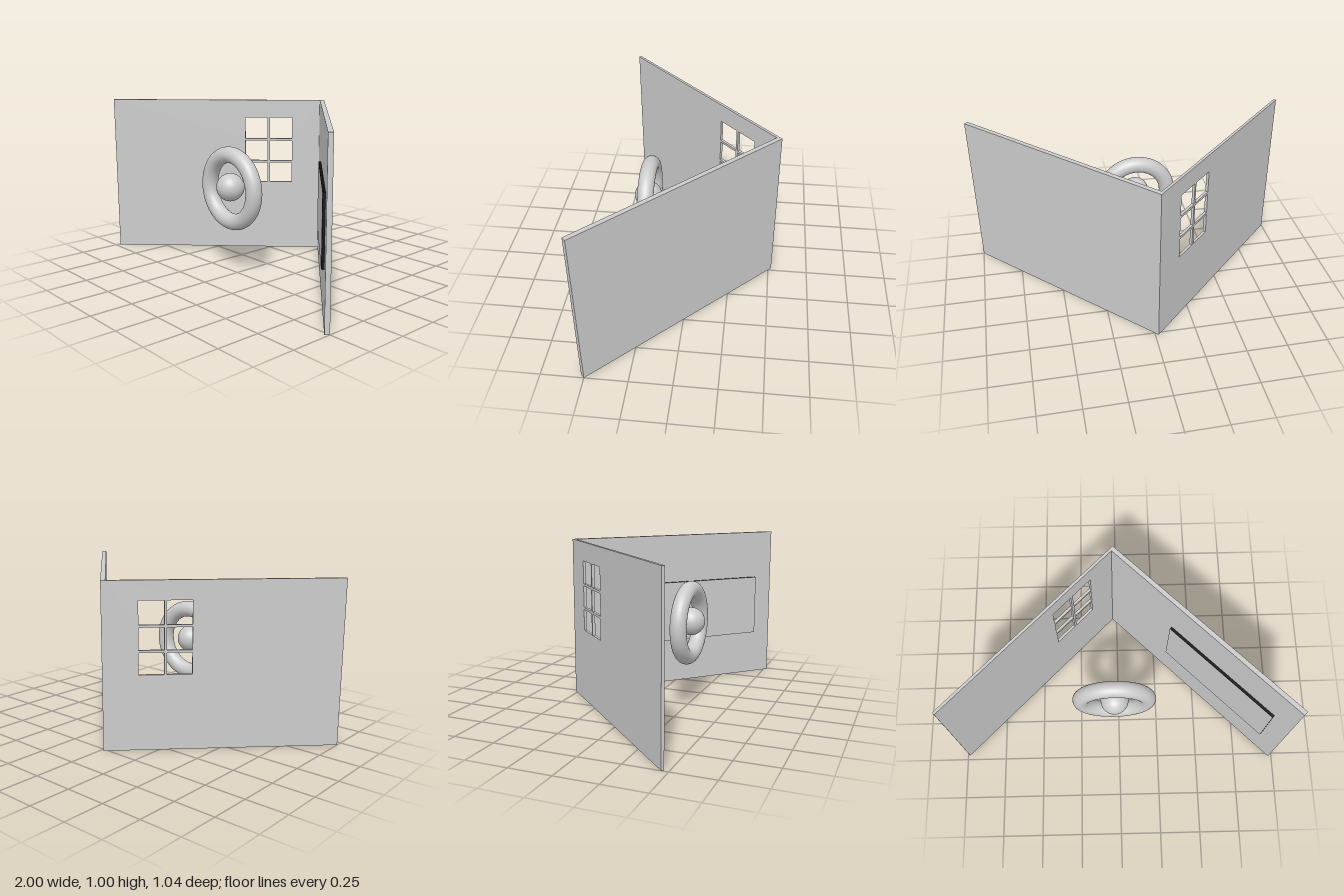
import * as THREE from 'three';

const HEIGHT = 1;
const grey = () => new THREE.MeshStandardMaterial({ color: 0xcccccc });

function addMesh(parent, name, geometry, x, y, z, material = grey()) {
  const mesh = new THREE.Mesh(geometry, material);
  mesh.name = name;
  mesh.position.set(x, y, z);
  parent.add(mesh);
  return mesh;
}

function rectangle(Type, x0, y0, x1, y1) {
  return new Type([[x0, y0], [x1, y0], [x1, y1], [x0, y1]].map(([x, y]) => new THREE.Vector2(x, y)));
}

// A wall side starts at the shared corner; its local +z points into the room
function wallGroup(name, angle) {
  const group = new THREE.Group();
  group.name = name;
  group.position.set(-0.02, 0, -0.52);
  group.rotation.y = angle;
  return group;
}

// Thin wall with a window of 2 x 3 open panes; bars remain between the panes
function windowWall() {
  const group = wallGroup('windowWallSide', Math.PI / 4);
  const shape = rectangle(THREE.Shape, -1.386, 0, -0.028, HEIGHT);
  const columns = [[-0.515, -0.369], [-0.354, -0.208]];
  const rows = [[0.455, 0.584], [0.599, 0.731], [0.746, 0.885]];
  for (const [x0, x1] of columns)
    for (const [y0, y1] of rows) shape.holes.push(rectangle(THREE.Path, x0, y0, x1, y1));
  addMesh(group, 'windowWall', new THREE.ExtrudeGeometry(shape, { depth: 0.017, bevelEnabled: false }), 0, 0, 0);
  return group;
}

// Thicker wall with a wide picture: dark edges and a plain front
function pictureWall() {
  const group = wallGroup('pictureWallSide', -Math.PI / 4);
  const length = 1.4425, thickness = 0.028;
  addMesh(group, 'pictureWall', new THREE.BoxGeometry(length, HEIGHT, thickness), length / 2, HEIGHT / 2, thickness / 2);

  const width = 0.8, height = 0.396, depth = 0.016, x = 0.917, y = 0.489;
  const dark = new THREE.MeshStandardMaterial({ color: 0x111111 });
  addMesh(group, 'pictureFrame', new THREE.BoxGeometry(width, height, depth), x, y, thickness + depth / 2, dark);
  addMesh(group, 'pictureFront', new THREE.PlaneGeometry(width, height), x, y, thickness + depth + 0.001);
  return group;
}

export function createModel() {
  const model = new THREE.Group();
  model.name = 'roomCorner';
  model.add(windowWall(), pictureWall());

  // Floating ring with a ball in its middle
  addMesh(model, 'ring', new THREE.TorusGeometry(0.203, 0.049, 32, 96), -0.029, 0.525, 0.266);
  addMesh(model, 'ball', new THREE.SphereGeometry(0.084, 48, 32), -0.027, 0.535, 0.275);
  return model;
}
